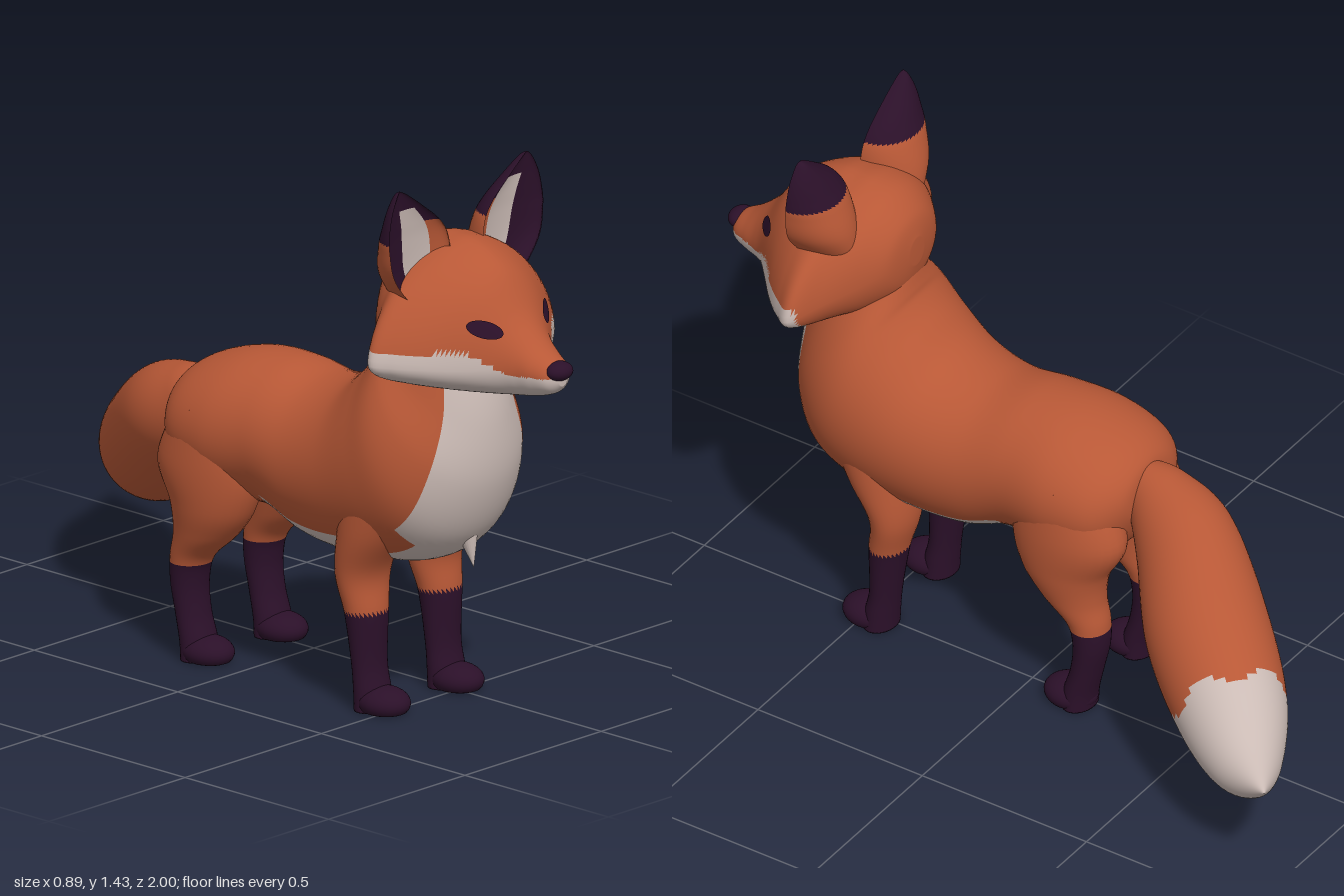
import * as THREE from 'three';

const flat = (name, color) => {
  const m = new THREE.MeshStandardMaterial({ color });
  m.name = name;
  return m;
};
const orange = flat('orange fur', 0xb85836);
const white = flat('white fur', 0xcbbbb5);
const dark = flat('dark fur', 0x2b1029);
const COATS = [orange, white, dark];
const ORANGE = 0, WHITE = 1, DARK = 2;

// Catmull-Rom blend of number rows at position t (in row units)
function rowAt(rows, t) {
  const i = Math.min(Math.floor(t), rows.length - 2), f = t - i;
  const r = k => rows[Math.max(0, Math.min(rows.length - 1, k))];
  const [p, q, u, v] = [r(i - 1), r(i), r(i + 1), r(i + 2)];
  return q.map((_, k) => q[k] + 0.5 * f * (u[k] - p[k] +
    f * (2 * p[k] - 5 * q[k] + 4 * u[k] - v[k] + f * (3 * (q[k] - u[k]) + v[k] - p[k]))));
}

// Smooth skin through rings; ring(row, angle) gives a point, pick(point, t, angle) a coat
function loft(name, rows, ring, pick = () => ORANGE, steps = 8, sides = 64) {
  const n = (rows.length - 1) * steps, pos = [], lists = [[], [], []];
  for (let i = 0; i <= n; i++) {
    const row = rowAt(rows, i / steps);
    for (let j = 0; j < sides; j++) pos.push(...ring(row, (j / sides) * Math.PI * 2));
  }
  const vert = k => new THREE.Vector3().fromArray(pos, k * 3);
  for (const i of [0, n]) { // cap centres
    const c = new THREE.Vector3();
    for (let j = 0; j < sides; j++) c.add(vert(i * sides + j));
    pos.push(...c.divideScalar(sides).toArray());
  }
  const capA = (n + 1) * sides, capB = capA + 1;
  let volume = 0;
  const tri = (a, b, c, t, ang) => {
    const [A, B, C] = [vert(a), vert(b), vert(c)];
    volume += A.dot(B.clone().cross(C));
    lists[pick(A.add(B).add(C).divideScalar(3), t, ang)].push(a, b, c);
  };
  for (let j = 0; j < sides; j++) {
    const k = (j + 1) % sides, ang = ((j + 0.5) / sides) * Math.PI * 2;
    for (let i = 0; i < n; i++) {
      const a = i * sides + j, b = i * sides + k, t = (i + 0.5) / steps;
      tri(a, b, a + sides, t, ang);
      tri(b, b + sides, a + sides, t, ang);
    }
    tri(capA, k, j, 0, ang);
    tri(capB, n * sides + j, n * sides + k, rows.length - 1, ang);
  }
  const geo = new THREE.BufferGeometry(), index = [];
  geo.setAttribute('position', new THREE.Float32BufferAttribute(pos, 3));
  lists.forEach((list, m) => {
    if (!list.length) return;
    geo.addGroup(index.length, list.length, m);
    for (let i = 0; i < list.length; i += 3) {
      if (volume > 0) index.push(list[i], list[i + 1], list[i + 2]);
      else index.push(list[i], list[i + 2], list[i + 1]);
    }
  });
  geo.setIndex(index);
  geo.computeVertexNormals();
  const mesh = new THREE.Mesh(geo, COATS);
  mesh.name = name;
  return mesh;
}

const power = (v, e) => Math.sign(v) * Math.abs(v) ** (2 / e);

function makeBody() {
  // back z, back y, belly z, belly y, half width: rump to neck
  const rows = [
    [-0.285, 0.66, -0.285, 0.62, 0.03], [-0.27, 0.725, -0.28, 0.56, 0.12],
    [-0.2, 0.775, -0.22, 0.46, 0.2], [-0.08, 0.81, -0.1, 0.42, 0.225],
    [0.05, 0.815, 0.06, 0.42, 0.212], [0.18, 0.8, 0.2, 0.37, 0.22],
    [0.3, 0.83, 0.36, 0.362, 0.235], [0.38, 0.9, 0.55, 0.39, 0.25],
    [0.42, 0.95, 0.67, 0.47, 0.25], [0.43, 0.98, 0.735, 0.62, 0.22],
    [0.44, 1.02, 0.74, 0.78, 0.165], [0.45, 1.06, 0.71, 0.92, 0.14],
    [0.47, 1.1, 0.66, 1.0, 0.12]];
  const ring = ([zt, yt, zb, yb, w], a) => {
    const s = Math.sin(a);
    return [w * Math.cos(a), (yt + yb) / 2 + (yt - yb) / 2 * s, (zt + zb) / 2 + (zt - zb) / 2 * s];
  };
  return loft('body', rows, ring, (p, t, a) => {
    const limit = t > 6.2 && t < 7.5 ? -0.82 : -0.6;
    return t > 4.1 && Math.sin(a) < limit ? WHITE : ORANGE;
  });
}

function makeHead() {
  // z, top y, cheek y, chin y, half width, squareness
  const rows = [
    [0.432, 1.13, 1.09, 1.05, 0.03, 2], [0.45, 1.19, 1.08, 0.98, 0.11, 2],
    [0.5, 1.24, 1.05, 0.93, 0.18, 2], [0.56, 1.262, 1.015, 0.905, 0.25, 1.8],
    [0.61, 1.265, 0.99, 0.9, 0.325, 1.6], [0.66, 1.262, 0.985, 0.89, 0.3, 1.6],
    [0.72, 1.24, 0.98, 0.885, 0.245, 1.65], [0.78, 1.195, 0.975, 0.885, 0.175, 1.8],
    [0.84, 1.105, 0.975, 0.89, 0.108, 2], [0.88, 1.06, 0.97, 0.895, 0.08, 2],
    [0.92, 1.025, 0.965, 0.903, 0.065, 2], [0.96, 1.0, 0.96, 0.918, 0.047, 2],
    [0.982, 0.975, 0.955, 0.94, 0.015, 2]];
  const ring = ([z, top, mid, bot, w, e], a) => {
    const s = Math.sin(a);
    return [w * power(Math.cos(a), e), s > 0 ? mid + (top - mid) * power(s, e) : mid + (mid - bot) * s, z];
  };
  return loft('head', rows, ring, p => {
    const edge = THREE.MathUtils.lerp(1.022, 0.963, THREE.MathUtils.smoothstep(p.z, 0.77, 0.88));
    return p.z > 0.595 && p.y < edge ? WHITE : ORANGE;
  });
}

function makeEar(side) {
  // y, inner x, outer x, front z, depth
  const rows = [
    [1.1, 0.08, 0.18, 0.65, 0.13], [1.2, 0.06, 0.262, 0.648, 0.125],
    [1.28, 0.066, 0.281, 0.645, 0.1], [1.33, 0.095, 0.279, 0.643, 0.076],
    [1.38, 0.155, 0.267, 0.641, 0.05], [1.42, 0.209, 0.247, 0.638, 0.024],
    [1.432, 0.23, 0.235, 0.635, 0.005]];
  const ring = ([y, inner, outer, z, d], a) => {
    const s = Math.sin(a);
    return [side * ((inner + outer) / 2 + (outer - inner) / 2 * Math.cos(a)), y, z - d * (s > 0 ? s : -0.35 * s)];
  };
  return loft(side > 0 ? 'leftEar' : 'rightEar', rows, ring, (p, t, a) => {
    const u = 0.5 + 0.5 * Math.cos(a);
    if (Math.sin(a) > 0) return p.y > 1.3 ? DARK : ORANGE;
    if (u > 0.2 && u < 0.63 && p.y < 1.375) return WHITE;
    return u > 0.5 || p.y > 1.33 ? DARK : ORANGE;
  }, 10, 48);
}

function makeLeg(name, side, rows, pawZ) {
  // y, centre z, half length, centre x, half width
  const leg = new THREE.Group();
  leg.name = (side > 0 ? 'left' : 'right') + name;
  const ring = ([y, z, hz, x, hx], a) => [side * x + hx * Math.cos(a), Math.max(y, 0), z + hz * Math.sin(a)];
  leg.add(loft('limb', rows, ring, p => (p.y < 0.255 ? DARK : ORANGE), 8, 32));
  // paw flattened against the ground
  const geo = new THREE.SphereGeometry(1, 28, 18).scale(0.064, 0.042, 0.073);
  const p = geo.attributes.position;
  for (let i = 0; i < p.count; i++) p.setY(i, Math.max(p.getY(i), -0.024));
  geo.translate(side * 0.135, 0.024, pawZ);
  geo.computeVertexNormals();
  const paw = new THREE.Mesh(geo, dark);
  paw.name = 'paw';
  leg.add(paw);
  return leg;
}

const FRONT_LEG = [
  [0.64, 0.5, 0.12, 0.14, 0.085], [0.48, 0.45, 0.09, 0.14, 0.088],
  [0.36, 0.41, 0.06, 0.132, 0.084], [0.25, 0.425, 0.049, 0.135, 0.064],
  [0.12, 0.435, 0.038, 0.135, 0.054], [0.05, 0.445, 0.041, 0.135, 0.056], [0, 0.45, 0.043, 0.135, 0.058]];
const HIND_LEG = [
  [0.68, -0.1, 0.12, 0.12, 0.09], [0.53, -0.12, 0.163, 0.13, 0.1],
  [0.42, -0.11, 0.125, 0.135, 0.09], [0.34, -0.135, 0.09, 0.135, 0.075],
  [0.27, -0.18, 0.057, 0.135, 0.06], [0.2, -0.19, 0.046, 0.135, 0.055],
  [0.12, -0.178, 0.04, 0.135, 0.053], [0.05, -0.16, 0.042, 0.135, 0.056], [0, -0.155, 0.042, 0.135, 0.058]];

function makeTail() {
  // x, y, z, radius, yaw, downward pitch
  const rows = [
    [0, 0.67, -0.24, 0.05, 0, 0.5], [0.005, 0.635, -0.3, 0.088, 0.1, 0.6],
    [0.045, 0.56, -0.41, 0.133, 0.4, 0.6], [0.19, 0.43, -0.58, 0.16, 0.68, 0.5],
    [0.33, 0.33, -0.75, 0.143, 0.72, 0.32], [0.46, 0.295, -0.885, 0.088, 0.76, 0.05],
    [0.56, 0.325, -1, 0.003, 0.8, -0.2]];
  const ring = ([x, y, z, r, yaw, p], a) => {
    const c = r * Math.cos(a), s = r * Math.sin(a), sy = Math.sin(yaw), cy = Math.cos(yaw);
    return [x + c * cy + s * sy * Math.sin(p), y + s * Math.cos(p), z + c * sy - s * cy * Math.sin(p)];
  };
  return loft('tail', rows, ring, (p, t, a) => (t > 3.9 + 0.09 * Math.sin(a * 5) ? WHITE : ORANGE), 12);
}

// Almond eye laid onto the head surface
function makeEye(side, head) {
  const geo = new THREE.RingGeometry(0.001, 1, 28, 5);
  geo.scale(0.037, 0.022, 1).rotateZ(side * 0.3).translate(side * 0.112, 1.078, 0);
  const p = geo.attributes.position, ray = new THREE.Raycaster(), back = new THREE.Vector3(0, 0, -1);
  for (let i = 0; i < p.count; i++) {
    ray.set(new THREE.Vector3(p.getX(i), p.getY(i), 2), back);
    const hit = ray.intersectObject(head)[0];
    p.setZ(i, (hit ? hit.point.z : 0.8) + 0.007);
  }
  geo.computeVertexNormals();
  const eye = new THREE.Mesh(geo, dark);
  eye.name = side > 0 ? 'leftEye' : 'rightEye';
  return eye;
}

export function createModel() {
  const fox = new THREE.Group();
  fox.name = 'fox';
  const head = makeHead();
  fox.add(makeBody(), head, makeTail());
  for (const side of [1, -1]) {
    fox.add(makeEar(side), makeEye(side, head));
    fox.add(makeLeg('FrontLeg', side, FRONT_LEG, 0.485), makeLeg('HindLeg', side, HIND_LEG, -0.128));
  }
  const nose = new THREE.Mesh(new THREE.SphereGeometry(1, 24, 16), dark);
  nose.name = 'nose';
  nose.scale.set(0.04, 0.025, 0.034);
  nose.position.set(0, 0.977, 0.966);
  // pointed fur at the bottom of the chest
  const tuft = new THREE.Mesh(new THREE.ConeGeometry(0.045, 0.15, 20), white);
  tuft.name = 'chestTuft';
  tuft.rotation.x = Math.PI - 0.25;
  tuft.position.set(0, 0.462, 0.652);
  fox.add(nose, tuft);
  // the tail swings to the left, so the trunk sits right of centre
  fox.position.x = -0.12;
  const model = new THREE.Group();
  model.add(fox);
  return model;
}
